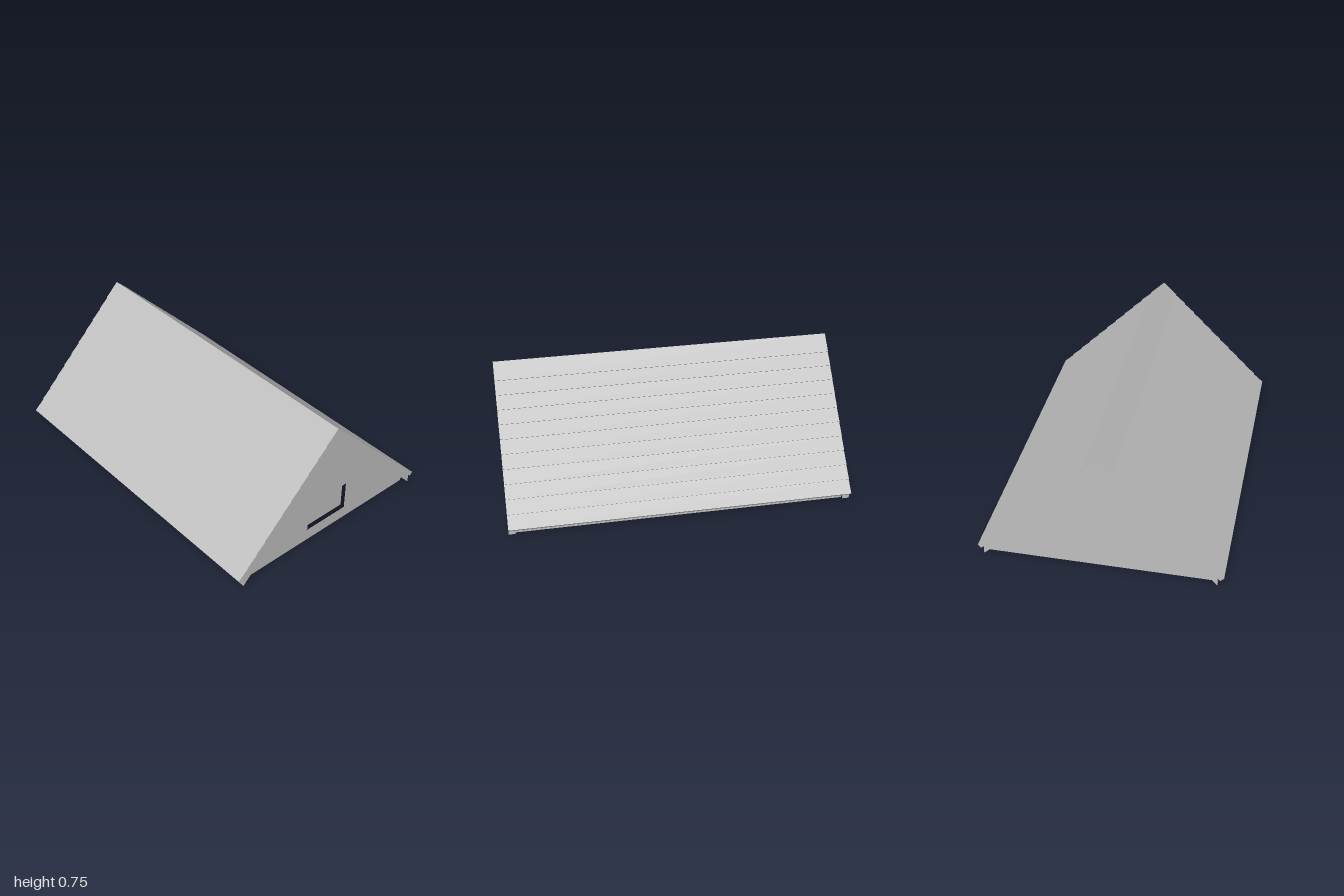
import * as THREE from 'three';

const WALL_X = 0.645, WALL_Z = 0.96, WALL_T = 0.03;
const UNDER = 0.72; // underside of the roof follows |x| + y = UNDER

// Closed outline mirrored about x = 0, from the right-hand half
function mirrored(half) {
  const left = half.filter(([x]) => x > 0).map(([x, y]) => [-x, y]).reverse();
  return new THREE.Shape([...half, ...left].map(([x, y]) => new THREE.Vector2(x, y)));
}

function slab(name, shape, z0, z1, material) {
  const geometry = new THREE.ExtrudeGeometry(shape, { depth: z1 - z0, bevelEnabled: false });
  geometry.translate(0, 0, z0);
  const mesh = new THREE.Mesh(geometry, material);
  mesh.name = name;
  return mesh;
}

export function createModel() {
  const group = new THREE.Group();
  group.name = 'gableRoof';
  const grey = new THREE.MeshStandardMaterial({ color: 0xc0c0c0 });
  grey.name = 'plain grey';

  // Shingled roof: each course ends in a small step
  const roof = [[0, 0.755]];
  const courses = 11;
  for (let i = 0; i < courses; i++) {
    const y = 0.675 - 0.0615 * i, x = 0.76 - y;
    roof.push([x, y]);
    if (i < courses - 1) roof.push([x - 0.004, y - 0.004]);
  }
  roof.push([0.68, 0.04]);
  // Underside runs back to the ridge and down the other side
  const left = roof.slice(1).map(([x, y]) => [-x, y]).reverse();
  const outline = [...roof, [0, UNDER], ...left].map(([x, y]) => new THREE.Vector2(x, y));
  group.add(slab('shingledRoof', new THREE.Shape(outline), -1, 1, grey));

  // Barge boards under both gable ends
  const barge = [[0, UNDER], [0.665, 0.055], [0.665, 0.005], [0, 0.67],
    [-0.665, 0.005], [-0.665, 0.055]].map(([x, y]) => new THREE.Vector2(x, y));
  group.add(slab('frontBargeBoard', new THREE.Shape(barge), WALL_Z, 1, grey));
  group.add(slab('backBargeBoard', new THREE.Shape(barge), -1, -WALL_Z, grey));

  // Gable walls, the front one with a window opening
  const gable = () => mirrored([[0, UNDER], [WALL_X, UNDER - WALL_X], [WALL_X, 0]]);
  const front = gable();
  const w = 0.148, y0 = 0.075, y1 = 0.255;
  front.holes.push(new THREE.Path([[-w, y0], [-w, y1], [w, y1], [w, y0]]
    .map(([x, y]) => new THREE.Vector2(x, y))));
  group.add(slab('frontGableWall', front, WALL_Z - WALL_T, WALL_Z, grey));
  group.add(slab('backGableWall', gable(), -WALL_Z, -WALL_Z + WALL_T, grey));

  // Window pane closing the opening from inside
  const pane = new THREE.Mesh(new THREE.BoxGeometry(2 * w, y1 - y0, 0.015), grey);
  pane.name = 'windowPane';
  pane.position.set(0, (y0 + y1) / 2, WALL_Z - WALL_T - 0.004);
  group.add(pane);

  // Low side walls with sloped tops
  for (const s of [1, -1]) {
    const a = WALL_X, b = WALL_X - 0.025;
    const shape = new THREE.Shape([[a, 0], [a, UNDER - a], [b, UNDER - b], [b, 0]]
      .map(([x, y]) => new THREE.Vector2(s * x, y)));
    group.add(slab(s > 0 ? 'leftSideWall' : 'rightSideWall', shape,
      -WALL_Z + WALL_T, WALL_Z - WALL_T, grey));
  }
  return group;
}
